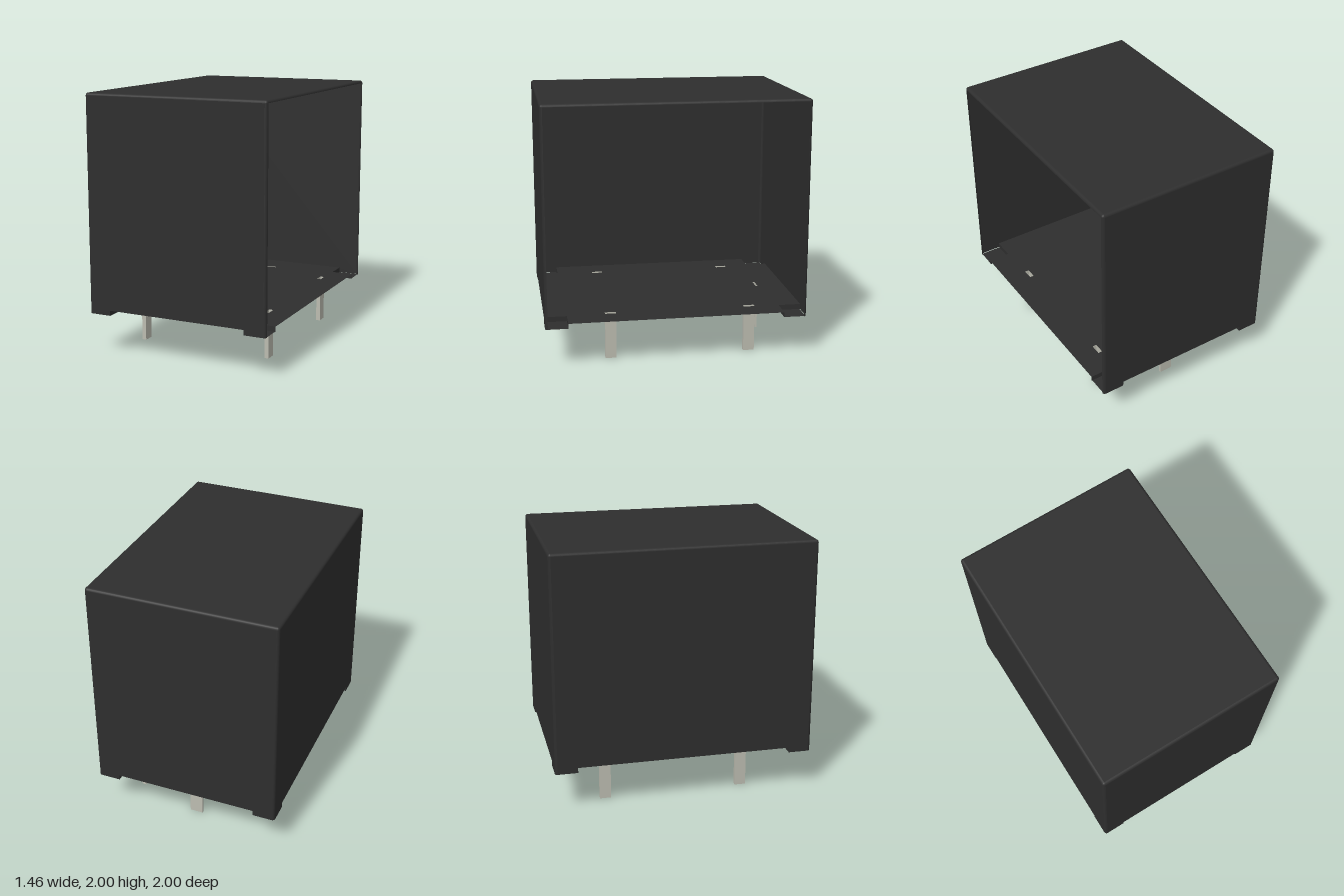
import * as THREE from 'three';

const X = 0.732, Z = 1, TOP = 2, FLOOR = 0.36, FOOT = 0.32, R = 0.02;
const NX = 0.557, NZ = 0.827; // inner edges of the corner feet
const PINS = [ // x, z, width, depth
  [0.533, 0.492, 0.034, 0.086], [-0.533, 0.492, 0.034, 0.086],
  [0.533, -0.593, 0.034, 0.086], [-0.533, -0.593, 0.034, 0.086],
  [0, -0.773, 0.104, 0.017],
];

function polygon(points) {
  return new THREE.Shape(points.map(([x, y]) => new THREE.Vector2(x, y)));
}

// Wall outline, raised between the two feet
function wallGeometry(half, notch) {
  return new THREE.ShapeGeometry(polygon([
    [-half, FOOT], [-notch, FOOT], [-notch, FLOOR], [notch, FLOOR],
    [notch, FOOT], [half, FOOT], [half, TOP - R], [-half, TOP - R],
  ]));
}

// Rounded vertical corners and rounded top rim, lofted through plan rings
function edgeGeometry() {
  const n = 4, count = 4 * (n + 1), pos = [], index = [];
  const levels = [[FOOT, R]];
  for (let i = 0; i <= n; i++) {
    const t = i / n * Math.PI / 2;
    levels.push([TOP - R + R * Math.sin(t), R * Math.cos(t)]);
  }
  const sx = [1, -1, -1, 1], sz = [-1, -1, 1, 1];
  for (const [y, r] of levels) {
    for (let q = 0; q < 4; q++) {
      for (let i = 0; i <= n; i++) {
        const a = (q + i / n) * Math.PI / 2;
        pos.push(sx[q] * (X - R) + r * Math.cos(a), y, sz[q] * (Z - R) - r * Math.sin(a));
      }
    }
  }
  for (let l = 0; l < levels.length - 1; l++) {
    for (let j = 0; j < count; j++) {
      if (l === 0 && j % (n + 1) === n) continue; // flat walls are separate
      const a = l * count + j, b = l * count + (j + 1) % count;
      index.push(a, b, b + count, a, b + count, a + count);
    }
  }
  const g = new THREE.BufferGeometry();
  g.setAttribute('position', new THREE.Float32BufferAttribute(pos, 3));
  g.setIndex(index);
  g.computeVertexNormals();
  return g;
}

export function createModel() {
  const model = new THREE.Group();
  const black = new THREE.MeshStandardMaterial({ color: 0x2e2e2e, side: THREE.DoubleSide });
  black.name = 'black plastic';
  const metal = new THREE.MeshStandardMaterial({ color: 0xbcbcb0, side: THREE.DoubleSide });
  metal.name = 'tinned metal';

  function add(name, geometry, material, x, y, z, rx = 0, ry = 0) {
    const mesh = new THREE.Mesh(geometry, material);
    mesh.name = name;
    mesh.position.set(x, y, z);
    mesh.rotation.set(rx, ry, 0);
    model.add(mesh);
    return mesh;
  }

  // Thin case, open on its left side
  add('frontWall', wallGeometry(X - R, NX), black, 0, 0, Z);
  add('backWall', wallGeometry(X - R, NX), black, 0, 0, -Z, 0, Math.PI);
  add('rightWall', wallGeometry(Z - R, NZ), black, -X, 0, 0, 0, -Math.PI / 2);
  add('roundedEdges', edgeGeometry(), black, 0, 0, 0);
  add('topPanel', new THREE.PlaneGeometry(2 * (X - R), 2 * (Z - R)), black, 0, TOP, 0, -Math.PI / 2);

  // Cross-shaped floor with a slot for every pin
  const floor = polygon([
    [-NX, -Z], [NX, -Z], [NX, -NZ], [X, -NZ], [X, NZ], [NX, NZ],
    [NX, Z], [-NX, Z], [-NX, NZ], [-X, NZ], [-X, -NZ], [-NX, -NZ],
  ]);
  for (const [x, z, w, d] of PINS) {
    floor.holes.push(polygon([
      [x - w / 2, z - d / 2], [x - w / 2, z + d / 2], [x + w / 2, z + d / 2], [x + w / 2, z - d / 2],
    ]));
  }
  add('floor', new THREE.ShapeGeometry(floor), black, 0, FLOOR, 0, Math.PI / 2);

  // Corner feet: a lowered pad and two short risers
  const fw = X - NX, fd = Z - NZ, h = FLOOR - FOOT;
  for (const sx of [-1, 1]) {
    for (const sz of [-1, 1]) {
      const cx = sx * (X + NX) / 2, cz = sz * (Z + NZ) / 2, y = FOOT + h / 2;
      add('footPad', new THREE.PlaneGeometry(fw - 0.006, fd - 0.006), black,
        cx - sx * 0.003, FOOT, cz - sz * 0.003, Math.PI / 2);
      add('footSideRiser', new THREE.PlaneGeometry(fd, h), black, sx * NX, y, cz, 0, -sx * Math.PI / 2);
      add('footEndRiser', new THREE.PlaneGeometry(fw, h), black, cx, y, sz * NZ, 0, sz > 0 ? Math.PI : 0);
    }
  }

  // Hollow flat pins, open at the top
  for (const [x, z, w, d] of PINS) {
    const g = new THREE.BoxGeometry(w, FLOOR, d);
    const faces = Array.from(g.index.array);
    faces.splice(12, 6);
    g.setIndex(faces);
    g.clearGroups();
    add('pin', g, metal, x, FLOOR / 2, z);
  }
  return model;
}
